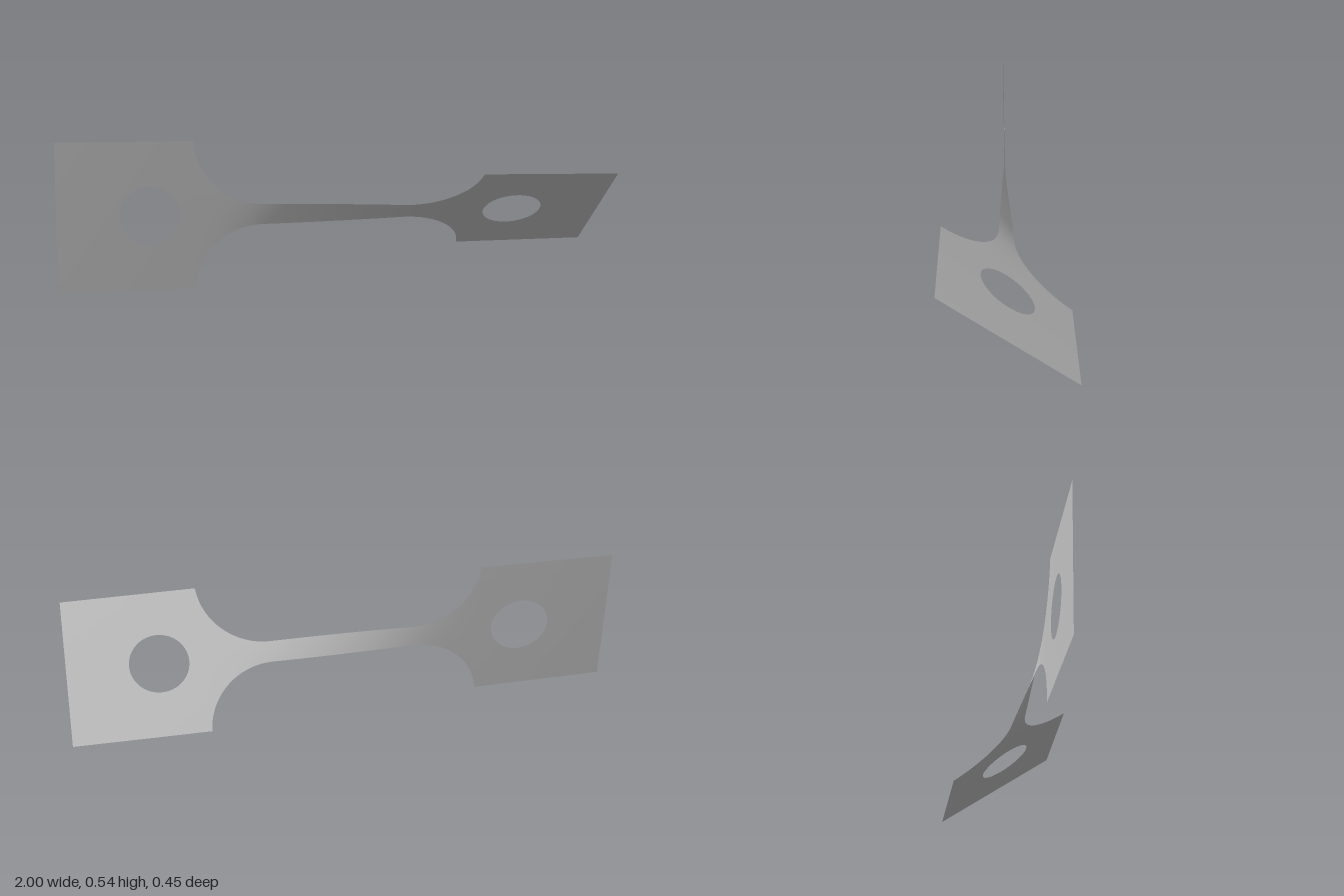
import * as THREE from 'three';
import { mergeVertices } from 'three/addons/utils/BufferGeometryUtils.js';

const GRIP = 0.271, NECK = 0.038;          // half widths
const FILLET_X = 0.26, FILLET_R = 0.25;    // shoulder arc
const HOLE_X = 0.669, HOLE_R = 0.108;
const TWIST = THREE.MathUtils.degToRad(55.2), START = 0.005;

// Cross-sections of one half, from the middle to the end: x, hole half height, half width
function halfSections() {
  const list = [];
  for (let i = 0; i < 24; i++) list.push({ x: FILLET_X * i / 24, hole: 0, w: NECK });
  const sweep = Math.acos((NECK + FILLET_R - GRIP) / FILLET_R);
  for (let i = 0; i <= 32; i++) {
    const a = sweep * i / 32;
    list.push({ x: FILLET_X + FILLET_R * Math.sin(a), hole: 0, w: NECK + FILLET_R * (1 - Math.cos(a)) });
  }
  for (let i = 0; i <= 40; i++) {
    const a = Math.PI * i / 40;
    const hole = i % 40 ? HOLE_R * Math.sin(a) : 0;
    list.push({ x: HOLE_X - HOLE_R * Math.cos(a), hole, w: GRIP });
  }
  for (let i = 1; i <= 8; i++) {
    list.push({ x: THREE.MathUtils.lerp(HOLE_X + HOLE_R, 1, i / 8), hole: 0, w: GRIP });
  }
  return list;
}

// Narrow sections twist far more than wide ones
function addTwist(sections) {
  const rate = s => Math.pow(s.w, -1.7);
  let sum = 0;
  sections.forEach((s, i) => {
    if (i) sum += (s.x - sections[i - 1].x) * (rate(s) + rate(sections[i - 1])) / 2;
    s.angle = sum;
  });
  for (const s of sections) s.angle = START + s.angle / sum * TWIST;
}

function twistedSheet() {
  const half = halfSections();
  const mirrored = half.slice(1).reverse().map(s => ({ ...s, x: -s.x }));
  const sections = [...mirrored, ...half];
  addTwist(sections);

  const ACROSS = 8, positions = [], index = [];
  // Upper and lower strips meet on the axis and part around the holes
  for (const side of [1, -1]) {
    const base = positions.length / 3;
    sections.forEach((s, i) => {
      for (let j = 0; j <= ACROSS; j++) {
        const v = side * THREE.MathUtils.lerp(s.hole, s.w, j / ACROSS);
        positions.push(s.x, GRIP + v * Math.cos(s.angle), v * Math.sin(s.angle));
        if (i && j) {
          const d = base + i * (ACROSS + 1) + j, c = d - 1;
          const b = d - ACROSS - 1, a = b - 1;
          if (side > 0) index.push(a, c, d, a, d, b);
          else index.push(a, d, c, a, b, d);
        }
      }
    });
  }
  const geometry = new THREE.BufferGeometry();
  geometry.setAttribute('position', new THREE.Float32BufferAttribute(positions, 3));
  geometry.setIndex(index);
  const merged = mergeVertices(geometry, 1e-5);
  merged.computeVertexNormals();
  return merged;
}

export function createModel() {
  const group = new THREE.Group();
  group.name = 'twistedTestStrip';
  const steel = new THREE.MeshStandardMaterial({ color: 0xc0c0c0, side: THREE.DoubleSide });
  steel.name = 'plain grey';
  const strip = new THREE.Mesh(twistedSheet(), steel);
  strip.name = 'twistedStrip';
  group.add(strip);
  return group;
}
